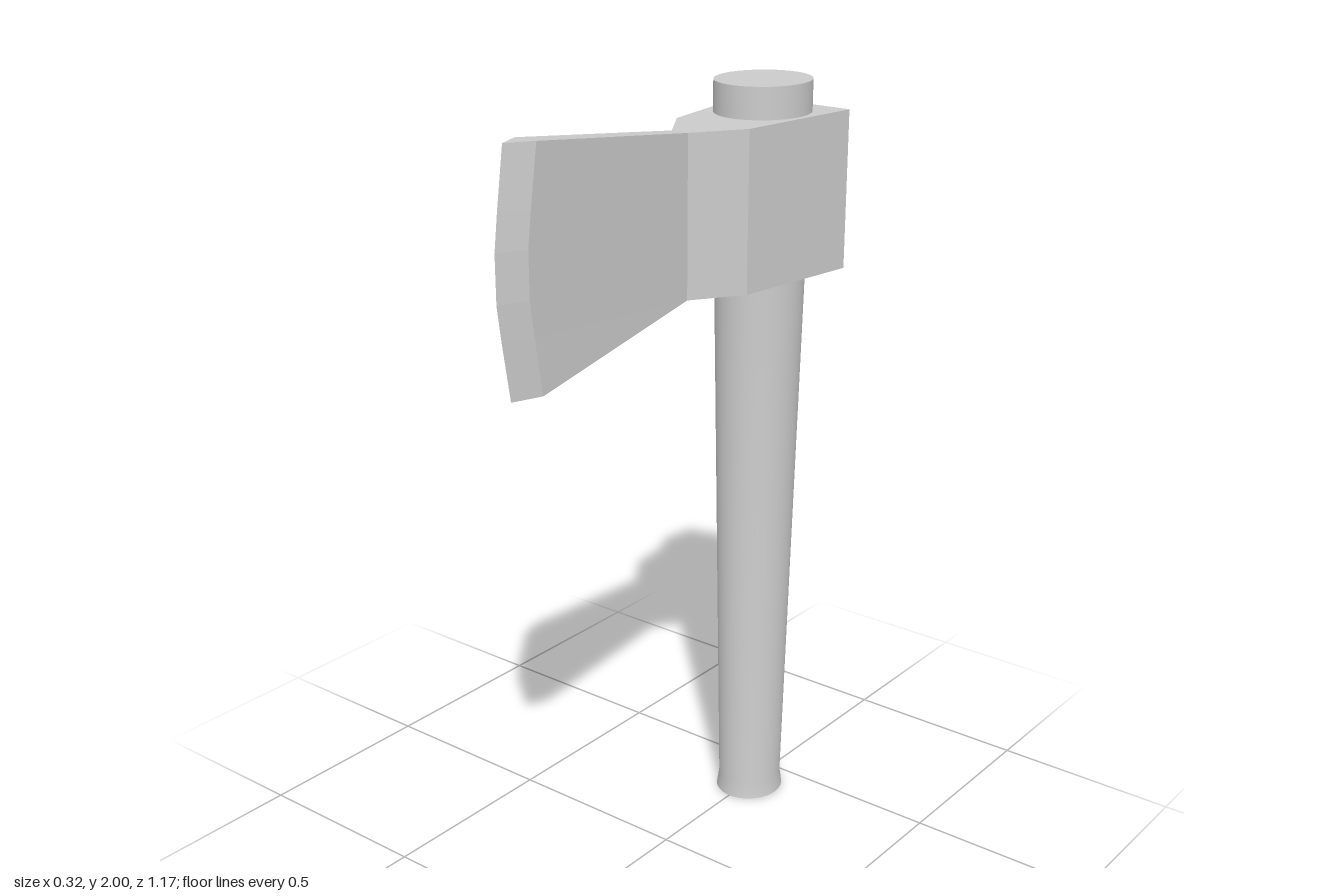
import * as THREE from 'three';
import { toCreasedNormals } from 'three/addons/utils/BufferGeometryUtils.js';

const HANDLE_Z = -0.386;

// Lofts a closed shape along z. Each section: [z, halfWidth, bottom, top, bulge]
// and the bulge pushes the middle rows forward for the curved cutting edge.
function loftHead(sections) {
  const rows = [0, 0.25, 0.4, 0.6, 0.75, 1];
  const curve = [0, 0.66, 1, 1, 0.66, 0];
  const n = rows.length, ring = n * 2;
  const positions = [], index = [];

  for (const [z, w, y0, y1, bulge] of sections) {
    const point = (side, r) =>
      positions.push(side * w, y0 + (y1 - y0) * rows[r], z + bulge * curve[r]);
    for (let r = 0; r < n; r++) point(1, r);
    for (let r = n - 1; r >= 0; r--) point(-1, r);
  }
  for (let s = 0; s < sections.length - 1; s++) {
    for (let i = 0; i < ring; i++) {
      const j = (i + 1) % ring;
      const a = s * ring + i, b = s * ring + j;
      index.push(a, b, b + ring, a, b + ring, a + ring);
    }
  }
  // flat back face of the poll
  for (let r = 0; r < n - 1; r++) {
    const left = ring - 1 - r;
    index.push(r, left, left - 1, r, left - 1, r + 1);
  }
  const geometry = new THREE.BufferGeometry();
  geometry.setAttribute('position', new THREE.Float32BufferAttribute(positions, 3));
  geometry.setIndex(index);
  const flat = geometry.toNonIndexed();
  flat.computeVertexNormals();
  return flat;
}

export function createModel() {
  const group = new THREE.Group();
  group.name = 'axe';

  // Tapered oval handle with a flared foot
  const profile = [[0, 0], [0.09, 0], [0.084, 0.045], [0.12, 1.85], [0.12, 2], [0, 2]]
    .map(([r, y]) => new THREE.Vector2(r, y));
  const handleGeometry = new THREE.LatheGeometry(profile, 40);
  handleGeometry.scale(1, 1, 1.075);
  const handle = new THREE.Mesh(
    toCreasedNormals(handleGeometry, Math.PI / 6),
    new THREE.MeshStandardMaterial({ color: 0xcccccc })
  );
  handle.name = 'handle';
  handle.position.z = HANDLE_Z;
  group.add(handle);

  // Head from the chamfered poll, past the eye, to the bevelled edge
  const head = new THREE.Mesh(
    loftHead([
      [-0.587, 0.088, 1.58, 1.855, 0],
      [-0.535, 0.158, 1.515, 1.92, 0],
      [-0.18, 0.109, 1.515, 1.92, 0],
      [-0.052, 0.024, 1.515, 1.92, 0],
      [0.48, 0.031, 1.418, 1.987, 0.035],
      [0.552, 0, 1.416, 1.99, 0.035],
    ]),
    new THREE.MeshStandardMaterial({ color: 0xcccccc, flatShading: true })
  );
  head.name = 'axeHead';
  group.add(head);

  return group;
}
